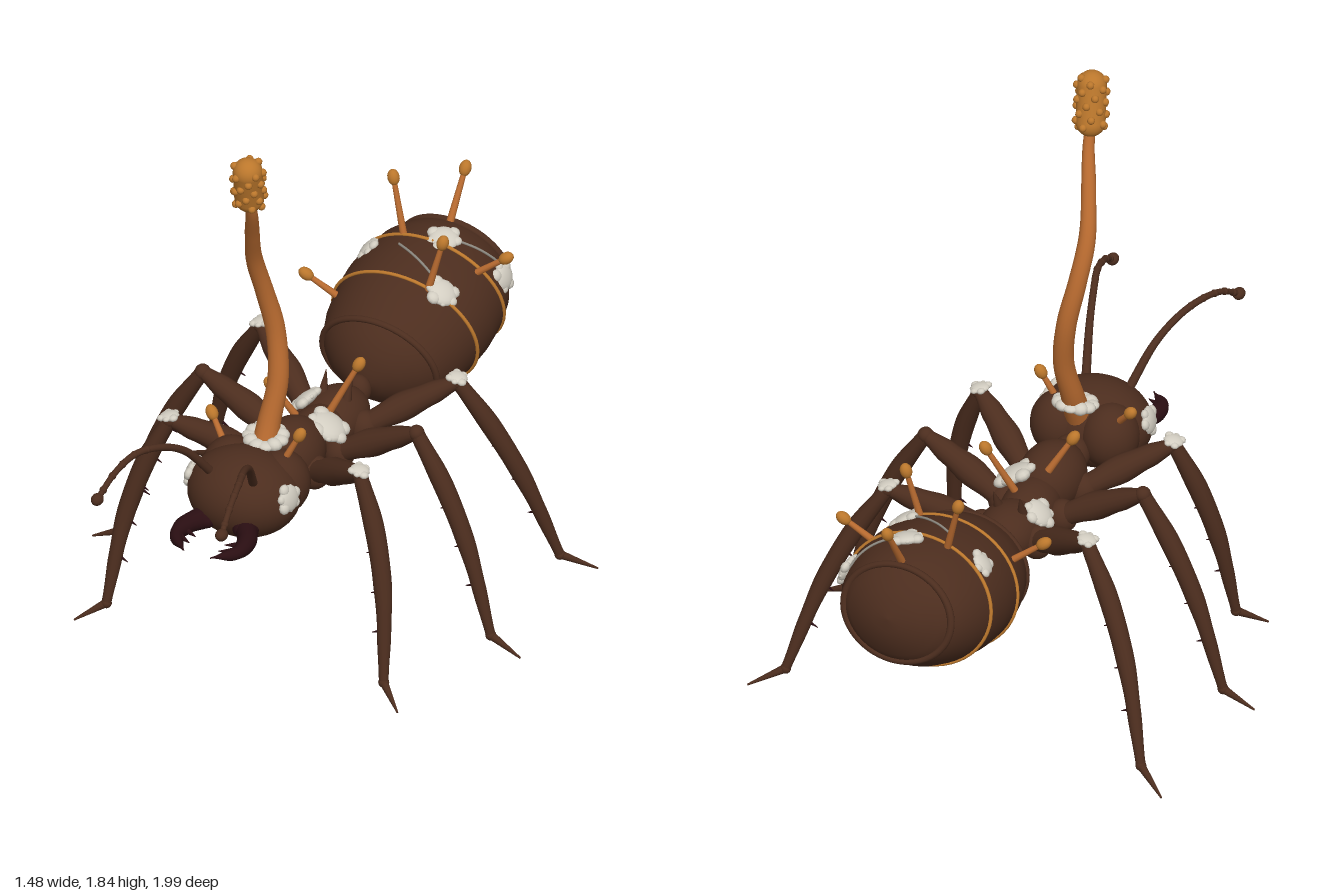
import * as THREE from 'three';

const mat = (name, color) => Object.assign(new THREE.MeshStandardMaterial({ color }), { name });
const V = (p) => new THREE.Vector3(...p);
const UP = new THREE.Vector3(0, 1, 0);

export function createModel() {
  const root = new THREE.Group();
  root.name = 'ant';
  const brown = mat('shellBrown', 0x4c2d1e);
  const dark = mat('darkMaroon', 0x2a0e12);
  const stalkMat = mat('stalkOrange', 0xb96b30);
  const clubMat = mat('clubAmber', 0xbb772c);
  const white = mat('fungusWhite', 0xd3cec2);
  const grey = mat('threadGrey', 0x8f8b82);

  const add = (name, geo, m, parent = root) => {
    const mesh = new THREE.Mesh(geo, m);
    mesh.name = name;
    parent.add(mesh);
    return mesh;
  };
  const group = (name, parent = root) => {
    const g = new THREE.Group();
    g.name = name;
    parent.add(g);
    return g;
  };
  const ball = (name, p, r, m, parent = root, seg = 24) => {
    const mesh = add(name, new THREE.SphereGeometry(1, seg, Math.ceil(seg * 0.67)), m, parent);
    mesh.position.set(...p);
    if (Array.isArray(r)) mesh.scale.set(...r);
    else mesh.scale.setScalar(r);
    return mesh;
  };
  // tube whose radius follows evenly spaced values along the path
  const taper = (name, pts, radii, m, parent = root, n = 28, sides = 14) => {
    const curve = new THREE.CatmullRomCurve3(pts.map(V));
    const geo = new THREE.TubeGeometry(curve, n, 1, sides);
    const pos = geo.attributes.position, v = new THREE.Vector3();
    for (let i = 0; i <= n; i++) {
      const c = curve.getPointAt(i / n), f = (i / n) * (radii.length - 1);
      const k = Math.min(Math.floor(f), radii.length - 2);
      const r = THREE.MathUtils.lerp(radii[k], radii[k + 1], THREE.MathUtils.smoothstep(f - k, 0, 1));
      for (let j = 0; j <= sides; j++) {
        const q = i * (sides + 1) + j;
        v.fromBufferAttribute(pos, q).sub(c).multiplyScalar(r).add(c);
        pos.setXYZ(q, v.x, v.y, v.z);
      }
    }
    return add(name, geo, m, parent);
  };
  const spike = (name, a, b, r0, r1, m, parent = root) => {
    const d = V(b).sub(V(a));
    const mesh = add(name, new THREE.CylinderGeometry(r1, r0, d.length(), 10), m, parent);
    mesh.position.copy(V(a)).addScaledVector(d, 0.5);
    mesh.quaternion.setFromUnitVectors(UP, d.normalize());
    return mesh;
  };
  // flattened lumpy fungus patch lying on a surface with the given normal
  const patch = (p, normal, r, parent = root) => {
    const g = group('fungusPatch', parent);
    g.position.set(...p);
    g.quaternion.setFromUnitVectors(UP, V(normal).normalize());
    ball('patchCore', [0, 0, 0], [r * 0.85, r * 0.35, r * 0.85], white, g, 16);
    for (let i = 0; i < 7; i++) {
      const a = i * 0.9 + r * 40, s = r * (0.3 + 0.12 * Math.sin(i * 2.3));
      ball('patchLump', [Math.cos(a) * r * 0.7, 0, Math.sin(a) * r * 0.7], [s, s * 0.7, s], white, g, 10);
    }
  };

  // gaster: barrel around a tilted axis, local y runs rearward and local z up
  const gaster = group('gaster');
  gaster.position.set(0, 0.645, -0.67);
  gaster.rotation.x = -1.349;
  const FLAT = 0.85;
  const profile = [[0, -0.345], [0.06, -0.335], [0.12, -0.305], [0.165, -0.27], [0.203, -0.225], [0.23, -0.15],
    [0.248, -0.06], [0.253, 0.02], [0.247, 0.1], [0.228, 0.18], [0.2, 0.235], [0.175, 0.265],
    [0.15, 0.285], [0.1, 0.31], [0.05, 0.325], [0, 0.33]].map((p) => new THREE.Vector2(...p));
  add('gasterShell', new THREE.LatheGeometry(profile, 48), brown, gaster).scale.z = FLAT;
  const radiusAt = (s) => {
    const i = Math.max(1, profile.findIndex((p) => p.y >= s)), a = profile[i - 1], b = profile[i];
    return THREE.MathUtils.lerp(a.x, b.x, (s - a.y) / (b.y - a.y));
  };
  const onGaster = (s, a, lift = 0) => {
    const r = radiusAt(s) + lift;
    return [r * Math.sin(a), s, FLAT * r * Math.cos(a)];
  };
  for (const [s, t, m, name] of [[-0.235, 0.011, brown, 'gasterRidge'], [0.26, 0.012, brown, 'gasterRidge'],
    [-0.067, 0.006, clubMat, 'orangeBand'], [0.113, 0.006, clubMat, 'orangeBand']]) {
    const ring = add(name, new THREE.TorusGeometry(radiusAt(s) + 0.002, t, 10, 56), m, gaster);
    ring.position.y = s;
    ring.rotation.x = Math.PI / 2;
    ring.scale.y = FLAT;
  }
  for (const [s, a, r] of [[0.143, 0.2, 0.055], [0.065, -0.8, 0.045], [-0.05, 0.6, 0.055], [0.18, 1.25, 0.05]])
    patch(onGaster(s, a), [Math.sin(a), 0, Math.cos(a)], r, gaster);
  for (const [s0, a0, s1, a1] of [[0.143, 0.2, 0.21, 1.15], [0.06, -0.25, -0.05, 0.6]]) {
    const pts = [0, 0.25, 0.5, 0.75, 1].map((t) => onGaster(s0 + (s1 - s0) * t, a0 + (a1 - a0) * t, 0.006));
    taper('fungusThread', pts, [0.004, 0.004], grey, gaster, 20, 6);
  }

  // waist and thorax
  ball('petiole', [0, 0.57, -0.3], [0.042, 0.05, 0.04], brown);
  ball('propodeum', [0, 0.555, -0.16], [0.098, 0.088, 0.125], brown);
  ball('midThorax', [0, 0.56, -0.02], [0.085, 0.085, 0.13], brown);
  ball('pronotum', [0, 0.585, 0.13], [0.102, 0.108, 0.13], brown);
  ball('neck', [0, 0.59, 0.26], [0.06, 0.06, 0.06], brown);
  patch([-0.08, 0.615, -0.115], [-0.7, 0.8, 0], 0.055);
  patch([0.07, 0.635, 0.02], [0.5, 0.9, 0], 0.07);

  // head with rear lobes
  ball('head', [0, 0.61, 0.43], [0.18, 0.137, 0.155], brown, root, 36);
  for (const s of [-1, 1]) {
    ball('headLobe', [s * 0.085, 0.625, 0.355], [0.092, 0.105, 0.095], brown);
    patch([s * 0.168, 0.645, 0.455], [s, 0.25, 0.15], 0.05);

    // mandibles
    taper('mandible', [[s * 0.07, 0.56, 0.545], [s * 0.105, 0.555, 0.61], [s * 0.105, 0.55, 0.67], [s * 0.045, 0.548, 0.735]],
      [0.036, 0.03, 0.02, 0.002], dark);
    ball('mandibleBase', [s * 0.072, 0.56, 0.555], [0.042, 0.032, 0.035], dark);
    for (const z of [0.63, 0.67])
      spike('mandibleTooth', [s * 0.095, 0.552, z], [s * 0.05, 0.55, z + 0.02], 0.012, 0.001, dark);

    // antennae, beaded toward the tip
    const path = [[0.07, 0.69, 0.5], [0.112, 0.82, 0.61], [0.148, 0.875, 0.71], [0.18, 0.89, 0.8], [0.2, 0.868, 0.89], [0.215, 0.815, 0.975]]
      .map(([x, y, z]) => [s * x, y, z]);
    taper('antenna', path, [0.014, 0.011, 0.009], brown);
    const curve = new THREE.CatmullRomCurve3(path.map(V));
    for (let i = 0; i < 5; i++)
      ball('antennaBead', curve.getPointAt(0.58 + i * 0.09).toArray(), 0.012, brown, root, 12);
    ball('antennaTip', path[5], [0.019, 0.019, 0.023], brown, root, 16);

    spike('thoraxSpine', [s * 0.04, 0.62, -0.15], [s * 0.045, 0.695, -0.18], 0.018, 0.001, brown);
  }

  // legs: hip, knee, ankle and tip given for the model's left side
  const legs = [
    ['frontLeg', [0.06, 0.53, 0.13], [0.33, 0.695, 0.3], [0.48, 0.06, 0.425], [0.56, 0.008, 0.485], true],
    ['middleLeg', [0.06, 0.52, 0], [0.37, 0.695, 0.01], [0.635, 0.055, 0.025], [0.74, 0.006, 0.03], false],
    ['hindLeg', [0.06, 0.52, -0.14], [0.34, 0.695, -0.31], [0.605, 0.06, -0.475], [0.705, 0.006, -0.535], true],
  ];
  for (const s of [-1, 1]) for (const [name, ...def] of legs) {
    const [hip, knee, ankle, tip] = def.slice(0, 4).map(([x, y, z]) => [s * x, y, z]);
    const g = group(name);
    const mix = (a, b, t, out = 0, lift = 0) =>
      a.map((c, i) => c + (b[i] - c) * t + (i === 0 ? s * out : i === 1 ? lift : 0));
    ball('coxa', mix(hip, knee, 0.12), [0.05, 0.055, 0.05], brown, g);
    taper('femur', [hip, mix(hip, knee, 0.5, 0, 0.005), knee], [0.028, 0.036, 0.045, 0.036, 0.022], brown, g);
    ball('knee', knee, 0.025, brown, g, 16);
    const shin = [knee, mix(knee, ankle, 0.25, 0.03), mix(knee, ankle, 0.55, 0.035), ankle];
    taper('tibia', shin, [0.023, 0.031, 0.029, 0.022, 0.015], brown, g);
    ball('ankle', ankle, 0.017, brown, g, 14);
    spike('foot', ankle, tip, 0.014, 0.003, brown, g);
    const curve = new THREE.CatmullRomCurve3(shin.map(V));
    for (const t of [0.37, 0.56, 0.75]) {
      const p = curve.getPointAt(t).toArray();
      spike('legSpine', p, [p[0] - s * 0.042, p[1] - 0.018, p[2]], 0.008, 0.001, dark, g);
    }
    if (def[4]) patch([knee[0], knee[1] + 0.014, knee[2]], [s * 0.2, 1, 0], 0.036, g);
  }

  // tall stalk rising from the back of the head, with a knobbly club
  taper('stalk', [[0.01, 0.68, 0.33], [0.01, 0.78, 0.29], [0.02, 0.92, 0.25], [0, 1.08, 0.23], [-0.025, 1.22, 0.252],
    [-0.035, 1.36, 0.3], [-0.01, 1.49, 0.36], [0.02, 1.61, 0.42], [0.025, 1.67, 0.445]],
  [0.04, 0.033, 0.031, 0.028, 0.023, 0.017], stalkMat, root, 50, 18);
  const club = group('club');
  club.position.set(0.032, 1.737, 0.462);
  club.quaternion.setFromUnitVectors(UP, V([0.02, 0.19, 0.055]).normalize());
  add('clubBody', new THREE.CapsuleGeometry(0.046, 0.118, 10, 24), clubMat, club);
  for (let i = 0; i < 32; i++) {
    const a = i * 2.4, y = -0.08 + i * 0.0053;
    const r = Math.abs(y) > 0.059 ? Math.sqrt(0.046 ** 2 - (Math.abs(y) - 0.059) ** 2) : 0.046;
    ball('clubKnob', [Math.cos(a) * r, y, Math.sin(a) * r], 0.0125, clubMat, club, 10);
  }
  const collar = group('stalkCollar');
  collar.position.set(0.01, 0.742, 0.31);
  for (let i = 0; i < 11; i++) {
    const a = i / 11 * Math.PI * 2;
    ball('collarLump', [Math.cos(a) * 0.05, -0.008 * Math.sin(a), Math.sin(a) * 0.045], [0.026, 0.017 + 0.004 * Math.sin(i * 2.1), 0.024], white, collar, 12);
  }

  // small pin-shaped sprouts: base, head
  const sprouts = [
    [[-0.075, 0.84, -0.74], [-0.13, 1.035, -0.77]], [[0.1, 0.81, -0.565], [0.14, 0.98, -0.585]],
    [[0.16, 0.79, -0.73], [0.268, 0.87, -0.755]], [[-0.18, 0.71, -0.535], [-0.287, 0.79, -0.5]],
    [[0.01, 0.86, -0.875], [0.015, 1.005, -0.962]], [[0.03, 0.63, -0.06], [0.105, 0.795, -0.112]],
    [[-0.03, 0.66, 0.045], [-0.095, 0.775, 0.085]], [[-0.11, 0.68, 0.34], [-0.182, 0.765, 0.3]],
    [[0.09, 0.69, 0.36], [0.142, 0.8, 0.338]],
  ];
  for (const [a, b] of sprouts) {
    const g = group('sprout');
    const stem = spike('sproutStem', a, b, 0.012, 0.008, stalkMat, g);
    ball('sproutHead', b, [0.019, 0.026, 0.019], clubMat, g, 14).quaternion.copy(stem.quaternion);
  }
  return root;
}
